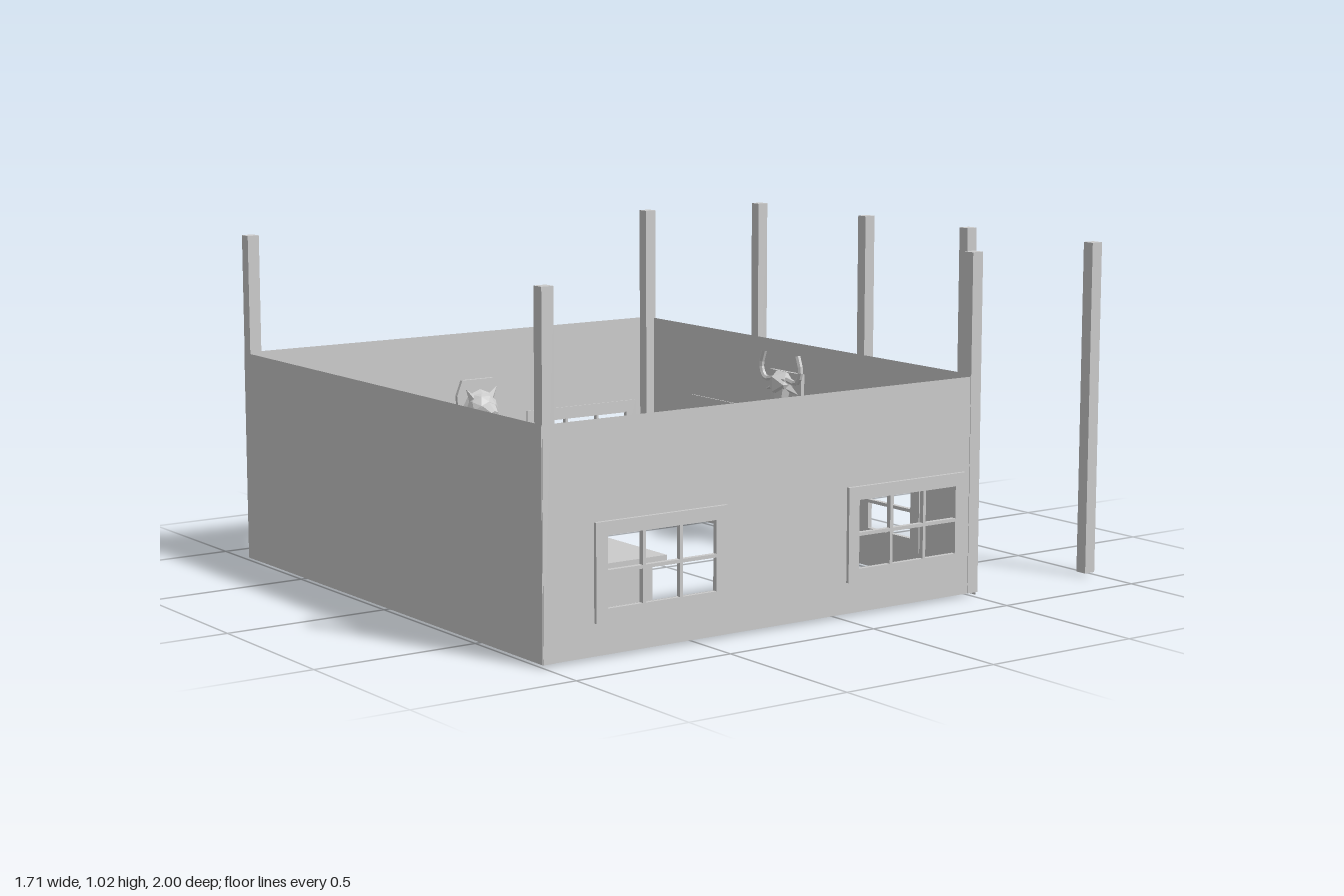
import * as THREE from 'three';

const grey = new THREE.MeshStandardMaterial({ color: 0xcccccc, flatShading: true });
const thin = new THREE.MeshStandardMaterial({ color: 0xcccccc, side: THREE.DoubleSide });

function add(parent, name, geometry, x = 0, y = 0, z = 0, material = grey) {
  const mesh = new THREE.Mesh(geometry, material);
  mesh.name = name;
  mesh.position.set(x, y, z);
  parent.add(mesh);
  return mesh;
}

// Box given by its lowest and highest corners
function box(parent, name, [x0, y0, z0], [x1, y1, z1]) {
  return add(parent, name, new THREE.BoxGeometry(x1 - x0, y1 - y0, z1 - z0),
    (x0 + x1) / 2, (y0 + y1) / 2, (z0 + z1) / 2);
}

function rect(Type, x0, y0, x1, y1) {
  const s = new Type();
  s.moveTo(x0, y0).lineTo(x1, y0).lineTo(x1, y1).lineTo(x0, y1).closePath();
  return s;
}

function extrude(shape, depth) {
  return new THREE.ExtrudeGeometry(shape, { depth, bevelEnabled: false, curveSegments: 8 })
    .translate(0, 0, -depth / 2);
}

// Paper-thin wall with openings
function wall(outline, openings = []) {
  for (const o of openings) outline.holes.push(rect(THREE.Path, ...o));
  return new THREE.ShapeGeometry(outline);
}

// Window casing with a grid of glazing bars
function windowFrame(w, h, border, cols, rows) {
  const shape = rect(THREE.Shape, -w / 2, -h / 2, w / 2, h / 2);
  const bar = 0.01;
  const pw = (w - 2 * border - bar * (cols - 1)) / cols;
  const ph = (h - 2 * border - bar * (rows - 1)) / rows;
  for (let i = 0; i < cols; i++) for (let j = 0; j < rows; j++) {
    const x = -w / 2 + border + i * (pw + bar), y = -h / 2 + border + j * (ph + bar);
    shape.holes.push(rect(THREE.Path, x, y, x + pw, y + ph));
  }
  return extrude(shape, 0.015);
}

// Mounted horned head, facing +z, centred on its plaque
function hornedHead() {
  const g = new THREE.Group();
  g.name = 'hornedTrophy';
  const plaque = new THREE.Shape();
  plaque.moveTo(-0.08, 0.09).lineTo(0.08, 0.09).lineTo(0.08, -0.05)
    .lineTo(0, -0.11).lineTo(-0.08, -0.05).closePath();
  add(g, 'hornedPlaque', extrude(plaque, 0.012));
  const skull = add(g, 'hornedSkull', new THREE.CylinderGeometry(0.045, 0.02, 0.14, 7), 0, 0, 0.03);
  skull.scale.z = 0.7;
  skull.rotation.x = -0.15;
  add(g, 'hornedMuzzle', new THREE.IcosahedronGeometry(0.026, 0), 0, -0.065, 0.038);
  add(g, 'hornedBrow', new THREE.IcosahedronGeometry(0.045, 0), 0, 0.055, 0.022);
  for (const s of [-1, 1]) {
    const path = new THREE.CatmullRomCurve3([[0.03, 0.07, 0.025], [0.08, 0.065, 0.025],
      [0.1, 0.1, 0.025], [0.085, 0.15, 0.025]].map(([x, y, z]) => new THREE.Vector3(s * x, y, z)));
    add(g, 'horn', new THREE.TubeGeometry(path, 8, 0.009, 6));
    const ear = add(g, 'hornedEar', new THREE.ConeGeometry(0.014, 0.05, 4), s * 0.06, 0.035, 0.02);
    ear.rotation.z = -s * 1.9;
  }
  return g;
}

// Mounted tusked head, facing +z
function tuskedHead() {
  const g = new THREE.Group();
  g.name = 'tuskedTrophy';
  const plaque = new THREE.Shape();
  plaque.moveTo(-0.06, 0.1).lineTo(0.06, 0.1).lineTo(0.08, 0.05).lineTo(0.07, -0.06)
    .lineTo(0, -0.1).lineTo(-0.07, -0.06).lineTo(-0.08, 0.05).closePath();
  add(g, 'tuskedPlaque', extrude(plaque, 0.012));
  const hook = add(g, 'plaqueHook', new THREE.ConeGeometry(0.02, 0.025, 8), 0, 0, -0.012);
  hook.rotation.x = -Math.PI / 2;
  const head = add(g, 'tuskedFace', new THREE.CylinderGeometry(0.018, 0.06, 0.1, 8), 0, 0, 0.055);
  head.rotation.x = Math.PI / 2 + 0.2;
  add(g, 'tuskedCheeks', new THREE.IcosahedronGeometry(0.055, 1), 0, 0.005, 0.025);
  for (const s of [-1, 1]) {
    const ear = add(g, 'tuskedEar', new THREE.ConeGeometry(0.016, 0.05, 4), s * 0.045, 0.055, 0.025);
    ear.rotation.z = -s * 0.6;
    const tusk = add(g, 'tusk', new THREE.ConeGeometry(0.006, 0.035, 5), s * 0.025, -0.015, 0.085);
    tusk.rotation.z = -s * 0.4;
  }
  return g;
}

export function createModel() {
  const model = new THREE.Group();
  const X = 0.84, ZF = 1, ZB = -0.52, TOP = 0.653, BASE = 0.008;

  // Corner and porch posts
  const posts = [[-0.823, 0.979], [0.823, 0.979], [-0.823, -0.507], [0.823, -0.507],
    [-0.823, -0.98], [-0.243, -0.98], [0.261, -0.98], [0.823, -0.98]];
  for (const [x, z] of posts) box(model, 'post', [x - 0.019, BASE, z - 0.019], [x + 0.019, 1.016, z + 0.019]);

  // Front wall
  add(model, 'frontWall', wall(rect(THREE.Shape, -X, BASE, X, TOP)), 0, 0, ZF, thin);

  // Side walls with wide windows
  for (const s of [-1, 1]) {
    const centres = [0.617, -0.248];
    const side = wall(rect(THREE.Shape, -ZF, BASE, -ZB, TOP),
      centres.map(z => [-z - 0.18, 0.138, -z + 0.18, 0.334]));
    add(model, 'sideWall', side, s * X, 0, 0, thin).rotation.y = Math.PI / 2;
    for (const z of centres)
      add(model, 'sideWindow', windowFrame(0.436, 0.276, 0.038, 3, 2), s * 0.843, 0.237, z).rotation.y = Math.PI / 2;
  }

  // Back wall with doorway and two tall windows
  const back = new THREE.Shape();
  back.moveTo(-X, 0).lineTo(-0.15, 0).lineTo(-0.15, 0.33).lineTo(0.15, 0.33)
    .lineTo(0.15, 0).lineTo(X, 0).lineTo(X, TOP).lineTo(-X, TOP).closePath();
  const tall = [-0.441, 0.445];
  add(model, 'backWall', wall(back, tall.map(x => [x - 0.1, 0.12, x + 0.1, 0.38])), 0, 0, ZB, thin);
  for (const x of tall) add(model, 'backWindow', windowFrame(0.28, 0.34, 0.04, 2, 3), x, 0.25, ZB - 0.003);

  // Pair of swing doors with curved tops
  for (const s of [-1, 1]) {
    const leaf = new THREE.Shape();
    leaf.moveTo(s * 0.003, 0.09).lineTo(s * 0.145, 0.09).lineTo(s * 0.145, 0.23)
      .bezierCurveTo(s * 0.09, 0.23, s * 0.1, 0.19, s * 0.07, 0.2)
      .bezierCurveTo(s * 0.05, 0.21, s * 0.04, 0.235, s * 0.003, 0.235).closePath();
    add(model, 'swingDoor', extrude(leaf, 0.014), 0, 0, ZB - 0.003);
  }

  // Bar counter: U-shaped top on an inset body
  const bar = new THREE.Group();
  bar.name = 'barCounter';
  model.add(bar);
  box(bar, 'counterTop', [-0.455, 0.13, 0.33], [0.465, 0.16, 0.455]);
  box(bar, 'counterFront', [-0.425, BASE, 0.36], [0.435, 0.13, 0.42]);
  for (const [a, b, c, d] of [[-0.455, -0.325, -0.425, -0.365], [0.338, 0.465, 0.375, 0.435]]) {
    box(bar, 'counterArm', [a, 0.13, 0.455], [b, 0.16, 0.83]);
    box(bar, 'counterSide', [c, BASE, 0.42], [d, 0.13, 0.83]);
  }

  // Back bar: low cabinet and open shelf unit against the front wall
  const shelf = new THREE.Group();
  shelf.name = 'backBar';
  model.add(shelf);
  box(shelf, 'cabinet', [-0.455, BASE, 0.83], [0.46, 0.16, 0.995]);
  box(shelf, 'shelfTop', [-0.425, 0.545, 0.83], [0.43, 0.58, 0.995]);
  box(shelf, 'shelfBoard', [-0.405, 0.16, 0.83], [0.41, 0.185, 0.98]);
  box(shelf, 'shelfBack', [-0.405, 0.185, 0.98], [0.41, 0.545, 0.995]);
  for (const x of [-0.425, 0.41]) box(shelf, 'shelfSide', [x, 0.16, 0.83], [x + 0.02, 0.545, 0.995]);

  // Mounted trophies
  const horned = hornedHead();
  horned.position.set(0, 0.48, -0.465);
  model.add(horned);
  const tusked = tuskedHead();
  tusked.position.set(-0.832, 0.4, 0.165);
  tusked.rotation.y = Math.PI / 2;
  model.add(tusked);

  return model;
}
